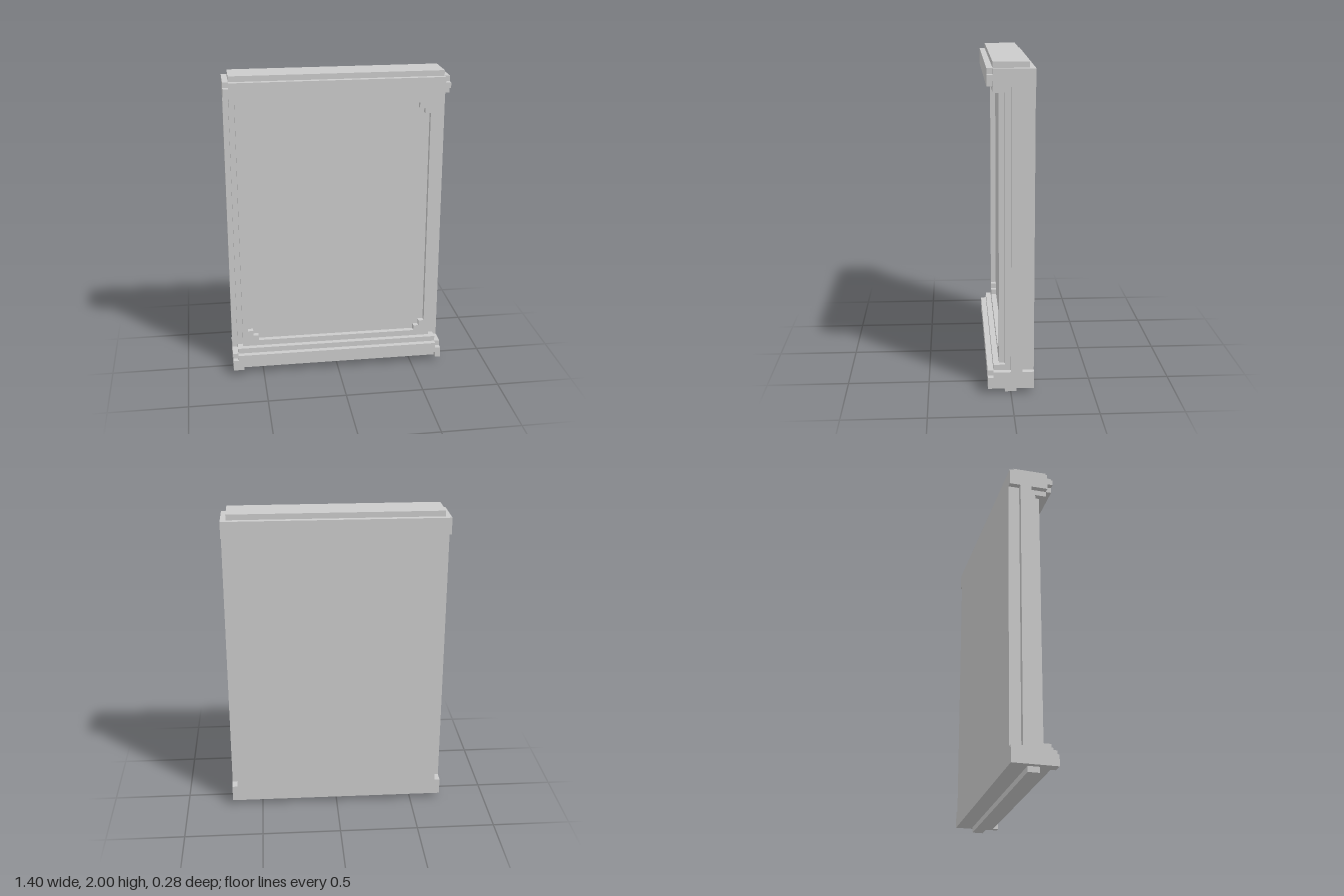
import * as THREE from 'three';

const U = 0.035; // one step of the moulding
const W = 0.7;   // half width

export function createModel() {
  const model = new THREE.Group();
  const material = new THREE.MeshStandardMaterial({ color: 0xcccccc, flatShading: true });

  // Box given by its limits on each axis
  function block(parent, name, x0, x1, y0, y1, z0, z1) {
    const mesh = new THREE.Mesh(new THREE.BoxGeometry(x1 - x0, y1 - y0, z1 - z0), material);
    mesh.position.set((x0 + x1) / 2, (y0 + y1) / 2, (z0 + z1) / 2);
    mesh.name = name;
    parent.add(mesh);
  }
  function part(name) {
    const group = new THREE.Group();
    group.name = name;
    model.add(group);
    return group;
  }

  // Heights of the base and the cornice
  const baseTop = 4 * U, corniceBottom = 1.86, corniceTop = 2 - U;

  // Body: three layers with stepped sides
  const body = part('body');
  block(body, 'backLayer', -W + U, W - U, baseTop, corniceBottom, -4 * U, -2 * U);
  block(body, 'middleLayer', -W, W, baseTop, corniceBottom, -2 * U, 0);
  block(body, 'panel', -W + U, W - U, baseTop, corniceBottom, 0, U);

  // Raised frame whose opening has stepped corners
  const fx = W - 2 * U;
  const frame = new THREE.Shape([
    new THREE.Vector2(-fx, baseTop), new THREE.Vector2(fx, baseTop),
    new THREE.Vector2(fx, corniceBottom), new THREE.Vector2(-fx, corniceBottom),
  ]);
  const hx = W - 3 * U, hy = 0.79, cy = 1.0025;
  const corner = [[hx, hy - 2 * U], [hx - U, hy - 2 * U], [hx - U, hy - U], [hx - 2 * U, hy - U], [hx - 2 * U, hy]];
  const opening = [];
  for (const [sx, sy] of [[1, 1], [-1, 1], [-1, -1], [1, -1]]) {
    const points = corner.map(([x, y]) => new THREE.Vector2(sx * x, cy + sy * y));
    opening.push(...(sx * sy > 0 ? points : points.reverse()));
  }
  frame.holes.push(new THREE.Path(opening));
  const frameMesh = new THREE.Mesh(new THREE.ExtrudeGeometry(frame, { depth: U, bevelEnabled: false }), material);
  frameMesh.position.z = U;
  frameMesh.name = 'frame';
  model.add(frameMesh);

  // Cornice with notched front corners, a step below and a cap above
  const cornice = part('cornice');
  block(cornice, 'beam', -W, W, corniceBottom, corniceTop, -4 * U, 3 * U);
  block(cornice, 'front', -W + U, W - U, corniceBottom, corniceTop, 3 * U, 4 * U);
  block(cornice, 'lowerStep', -W + U, W - U, corniceBottom - U, corniceBottom, U, 3 * U);
  block(cornice, 'cap', -W + U, W - U, corniceTop, 2, -3 * U, 3 * U);
  for (const s of [-1, 1]) {
    const x = s * (W - U / 2);
    block(cornice, 'cornerStud', x - U / 2, x + U / 2, 1.895, 1.93, 3 * U, 4 * U);
  }

  // Base with notched top corners and a slot under the front edge
  const base = part('base');
  block(base, 'beam', -W, W, U, baseTop, -4 * U, 3 * U);
  block(base, 'frontUpper', -W + U, W - U, 3 * U, baseTop, 3 * U, 4 * U);
  block(base, 'frontMiddle', -W, W, 2 * U, 3 * U, 3 * U, 4 * U);
  block(base, 'frontRightEnd', -W, -W + 2 * U, U, 2 * U, 3 * U, 4 * U);
  block(base, 'frontLeftEnd', W - U, W, U, 2 * U, 3 * U, 4 * U);
  block(base, 'upperStep', -W + U, W - U, baseTop, baseTop + U, U, 3 * U);
  block(base, 'foot', -W + U, W - U, 0, U, -U, U);

  return model;
}
